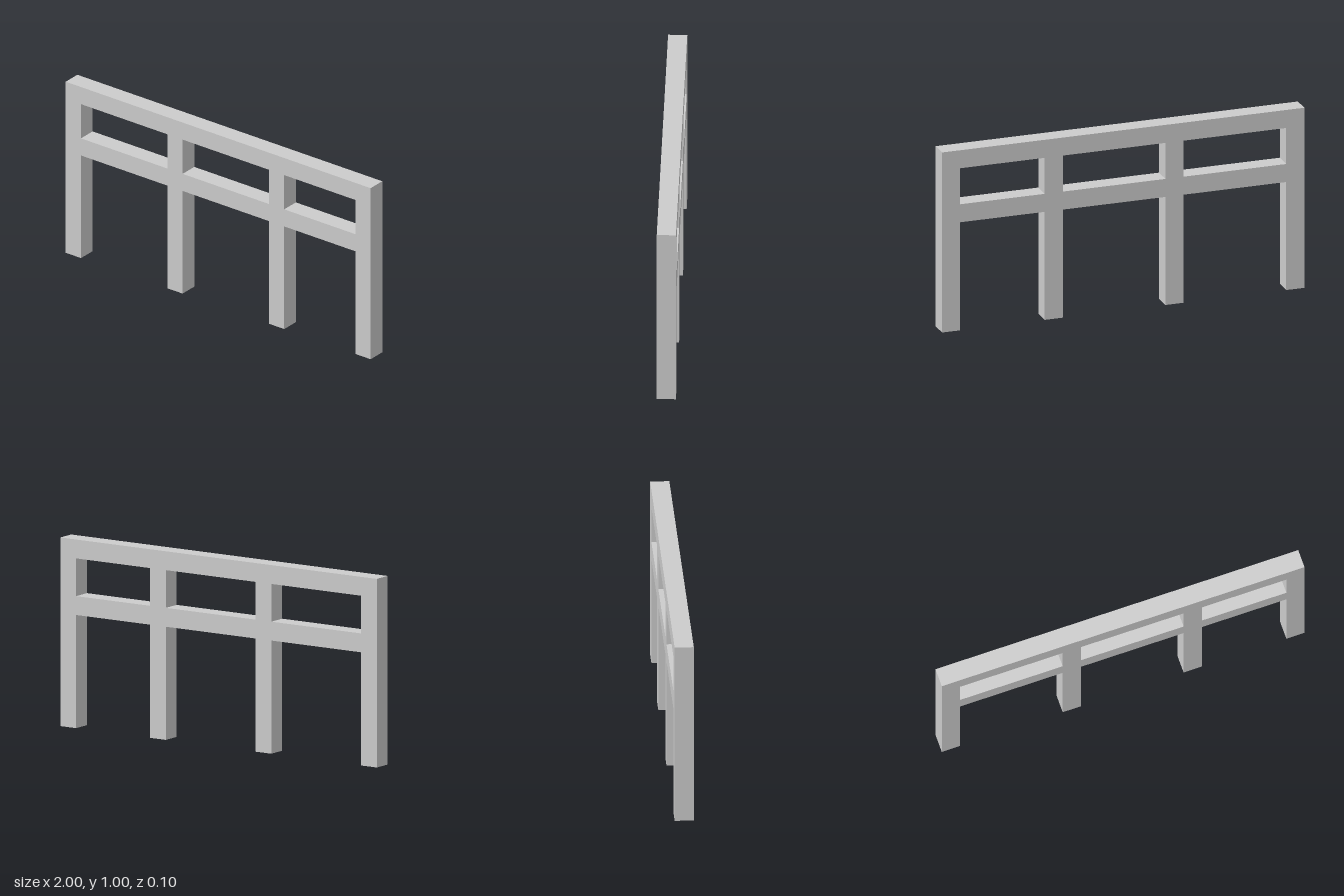
import * as THREE from 'three';

const SIZE = 0.1; // square section shared by posts and rails
const HEIGHT = 1;
const LENGTH = 2;
const MID_RAIL_Y = 0.65;

export function createModel() {
  const group = new THREE.Group();
  group.name = 'fence';
  const material = new THREE.MeshStandardMaterial({ color: 0xcccccc, flatShading: true });

  const addBeam = (name, width, height, x, y) => {
    const mesh = new THREE.Mesh(new THREE.BoxGeometry(width, height, SIZE), material);
    mesh.name = name;
    mesh.position.set(x, y, 0);
    group.add(mesh);
  };

  // Top rail over the full length
  addBeam('topRail', LENGTH, SIZE, 0, HEIGHT - SIZE / 2);

  // Posts under the top rail: a regular step from the right end, the last flush with the left end
  const postStarts = [-1, -1 / 3, 1 / 3, 1 - SIZE];
  const postHeight = HEIGHT - SIZE;
  postStarts.forEach((x, i) => addBeam(`post${i + 1}`, SIZE, postHeight, x + SIZE / 2, postHeight / 2));

  // Middle rail, fitted between neighbouring posts
  for (let i = 0; i < postStarts.length - 1; i++) {
    const from = postStarts[i] + SIZE;
    const to = postStarts[i + 1];
    addBeam(`middleRail${i + 1}`, to - from, SIZE, (from + to) / 2, MID_RAIL_Y);
  }

  return group;
}
